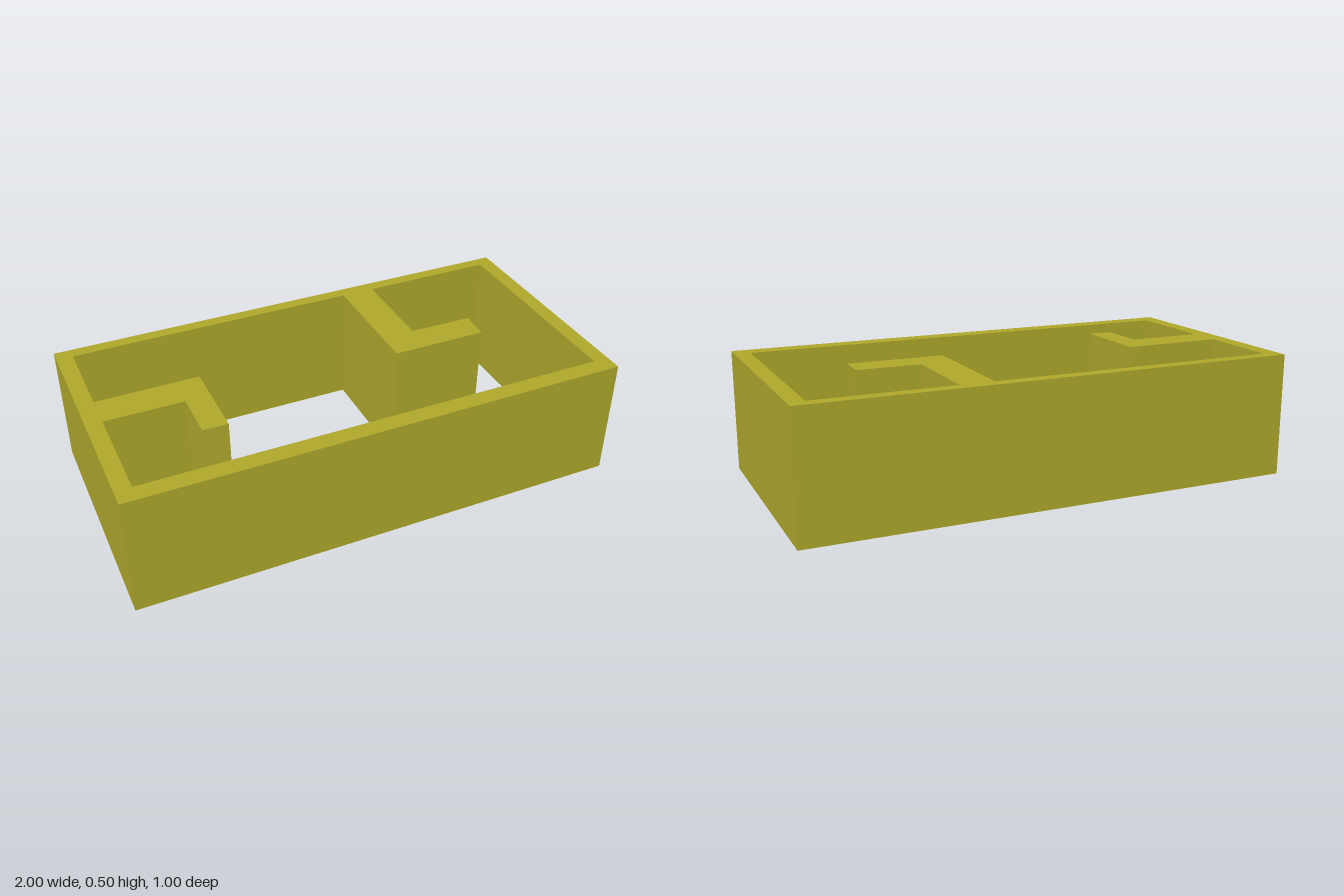
import * as THREE from 'three';

const HEIGHT = 0.5;

export function createModel() {
  const group = new THREE.Group();
  group.name = 'walledFrame';

  const olive = new THREE.MeshStandardMaterial({ color: 0xb0a92c });
  olive.name = 'olive';

  const points = (list) => list.map(([x, z]) => new THREE.Vector2(x, z));

  // Outer rectangle of the floor plan, as (x, z)
  const plan = new THREE.Shape(points([[-1, -0.5], [1, -0.5], [1, 0.5], [-1, 0.5]]));

  // Open interior, stepping around the two hooked inner walls
  plan.holes.push(new THREE.Path(points([
    [-0.935, -0.45],
    // back hook
    [0.25, -0.45], [0.25, 0.06], [0.642, 0.06], [0.647, -0.062], [0.387, -0.065], [0.387, -0.45],
    // right end and front wall
    [0.937, -0.45], [0.937, 0.43], [-0.935, 0.43],
    // side hook
    [-0.935, 0.028], [-0.62, 0.028], [-0.62, 0.225], [-0.52, 0.23], [-0.52, -0.107], [-0.935, -0.107],
  ])));

  // Walls, open at top and bottom
  const geometry = new THREE.ExtrudeGeometry(plan, { depth: HEIGHT, bevelEnabled: false });
  geometry.rotateX(Math.PI / 2).translate(0, HEIGHT, 0);

  const walls = new THREE.Mesh(geometry, olive);
  walls.name = 'walls';
  group.add(walls);
  return group;
}
